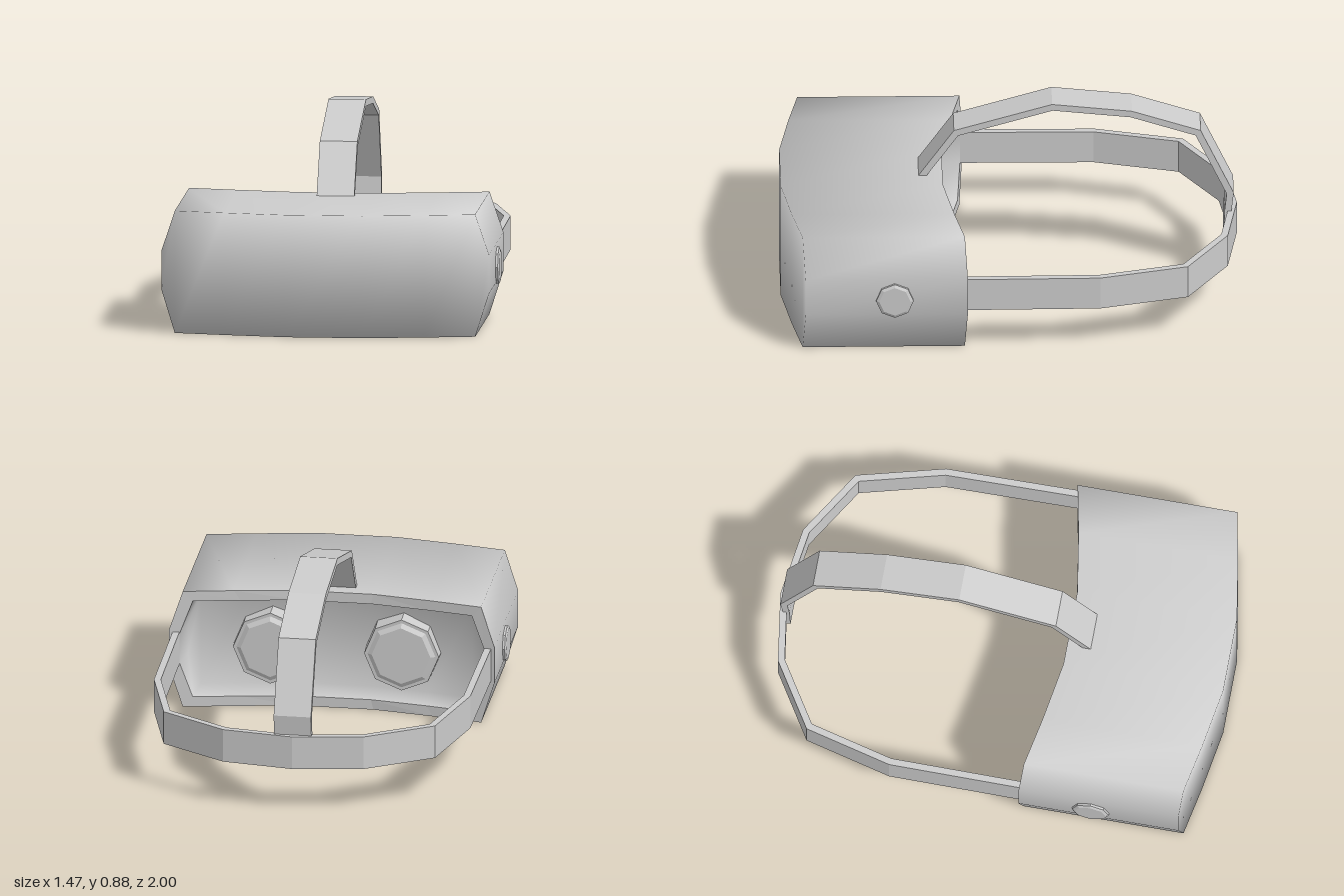
import * as THREE from 'three';

const material = new THREE.MeshStandardMaterial({ color: 0xcccccc });
const flat = new THREE.MeshStandardMaterial({ color: 0xcccccc, flatShading: true });

function add(parent, name, geometry, mat = flat) {
  const mesh = new THREE.Mesh(geometry, mat);
  mesh.name = name;
  parent.add(mesh);
  return mesh;
}

// Visor plan curve: flat in the middle, sweeping back to the temples
const frontZ = (x) => 1 - 0.1 * Math.pow(Math.max(0, Math.abs(x) - 0.17) / 0.55, 1.15);

// Visor outline seen from the front, counter-clockwise from the lower corner
const xs = [-0.66, -0.44, -0.17, 0.17, 0.44, 0.66];
const n = xs.length;
const outline = [
  ...xs.map((x) => [x, 0]),
  [0.72, 0.19], [0.72, 0.36],
  ...xs.map((x) => [-x, 0.54]),
  [-0.72, 0.36], [-0.72, 0.19],
];

// One ring of the visor: scaled outline, set back from the front curve
const ring = (sx, sy, back) => outline.map(([x, y]) =>
  [x * sx, 0.27 + (y - 0.27) * sy, frontZ(x * sx) - back]);

// Surface through successive rings, with optional caps on the first or last
function loft(rings, capFirst, capLast) {
  const m = outline.length;
  const index = [];
  for (let r = 0; r < rings.length - 1; r++) {
    for (let i = 0; i < m; i++) {
      const j = (i + 1) % m, a = r * m, b = a + m;
      index.push(a + i, b + i, b + j, a + i, b + j, a + j);
    }
  }
  const quads = [[n - 1, n, n + 1, n + 2], [2 * n + 1, 2 * n + 2, 2 * n + 3, 0]];
  for (let i = 0; i < n - 1; i++) quads.push([i, i + 1, 2 * n - i, 2 * n + 1 - i]);
  const cap = (start, flip) => quads.forEach((quad) => {
    const [a, b, c, d] = (flip ? [...quad].reverse() : quad).map((k) => k + start);
    index.push(a, b, c, a, c, d);
  });
  if (capFirst) cap(0, false);
  if (capLast) cap((rings.length - 1) * m, true);
  const geometry = new THREE.BufferGeometry();
  geometry.setAttribute('position', new THREE.Float32BufferAttribute(rings.flat(2), 3));
  geometry.setIndex(index);
  geometry.computeVertexNormals();
  return geometry;
}

// Band of even thickness along an open 2D path (mitred bends), extruded to a width
function band(points, thickness, width) {
  const path = points.map(([x, y]) => new THREE.Vector2(x, y));
  const normal = (a, b) => {
    const d = b.clone().sub(a).normalize();
    return new THREE.Vector2(-d.y, d.x);
  };
  const inner = path.map((p, i) => {
    const n1 = normal(path[Math.max(i - 1, 0)], path[Math.max(i, 1)]);
    const last = path.length - 1;
    const n2 = normal(path[Math.min(i, last - 1)], path[Math.min(i + 1, last)]);
    const mitre = n1.clone().add(n2).normalize();
    return p.clone().addScaledVector(mitre, thickness / mitre.dot(n1));
  });
  const shape = new THREE.Shape([...path, ...inner.reverse()]);
  return new THREE.ExtrudeGeometry(shape, { depth: width, bevelEnabled: false });
}

export function createModel() {
  const model = new THREE.Group();
  model.name = 'headset';

  // Visor: smooth outer shell, back rim and recessed eye cavity
  const visor = new THREE.Group();
  visor.name = 'visor';
  model.add(visor);
  const outerBack = ring(1, 1, 0.71);
  const innerBack = ring(0.935, 0.83, 0.71);
  const floor = ring(0.91, 0.78, 0.58);
  add(visor, 'visorShell', loft([ring(1, 1, 0), outerBack], true, false), material);
  add(visor, 'visorRim', loft([outerBack, innerBack]));
  add(visor, 'eyeCavity', loft([innerBack, floor], false, true), material);

  // Eight-sided lenses and side knobs, mirrored left and right
  for (const side of [-1, 1]) {
    const lens = new THREE.Group();
    lens.name = side > 0 ? 'leftLens' : 'rightLens';
    lens.position.set(side * 0.29, 0.25, 0.32);
    lens.rotation.x = -Math.PI / 2;
    model.add(lens);
    add(lens, 'lensBarrel', new THREE.CylinderGeometry(0.165, 0.17, 0.11, 8)).position.y = -0.055;
    add(lens, 'lensGlass', new THREE.CylinderGeometry(0.13, 0.15, 0.012, 8)).position.y = 0.006;

    const knob = new THREE.Group();
    knob.name = side > 0 ? 'leftKnob' : 'rightKnob';
    knob.position.set(side * 0.715, 0.26, 0.51);
    knob.rotation.z = -side * Math.PI / 2;
    model.add(knob);
    add(knob, 'knobBase', new THREE.CylinderGeometry(0.082, 0.082, 0.03, 8));
    add(knob, 'knobFace', new THREE.CylinderGeometry(0.068, 0.08, 0.006, 8)).position.y = 0.018;
  }

  // Head strap around the back, drawn in plan and laid flat
  const half = [[0.705, -0.26], [0.70, 0.39], [0.60, 0.775], [0.31, 0.955]];
  const plan = [...half, [0, 1], ...half.map(([x, y]) => [-x, y]).reverse()];
  const headStrap = add(model, 'headStrap', band(plan, 0.03, 0.15));
  headStrap.rotation.x = -Math.PI / 2;
  headStrap.position.y = 0.2;

  // Strap over the crown, drawn in side profile as (-z, y)
  const profile = [[0.97, 0.21], [0.975, 0.35], [0.985, 0.44], [0.84, 0.75],
    [0.54, 0.848], [0.19, 0.885], [-0.24, 0.76], [-0.43, 0.49]];
  const topStrap = add(model, 'topStrap', band(profile, 0.03, 0.165));
  topStrap.rotation.y = Math.PI / 2;
  topStrap.position.x = -0.0825;

  return model;
}
